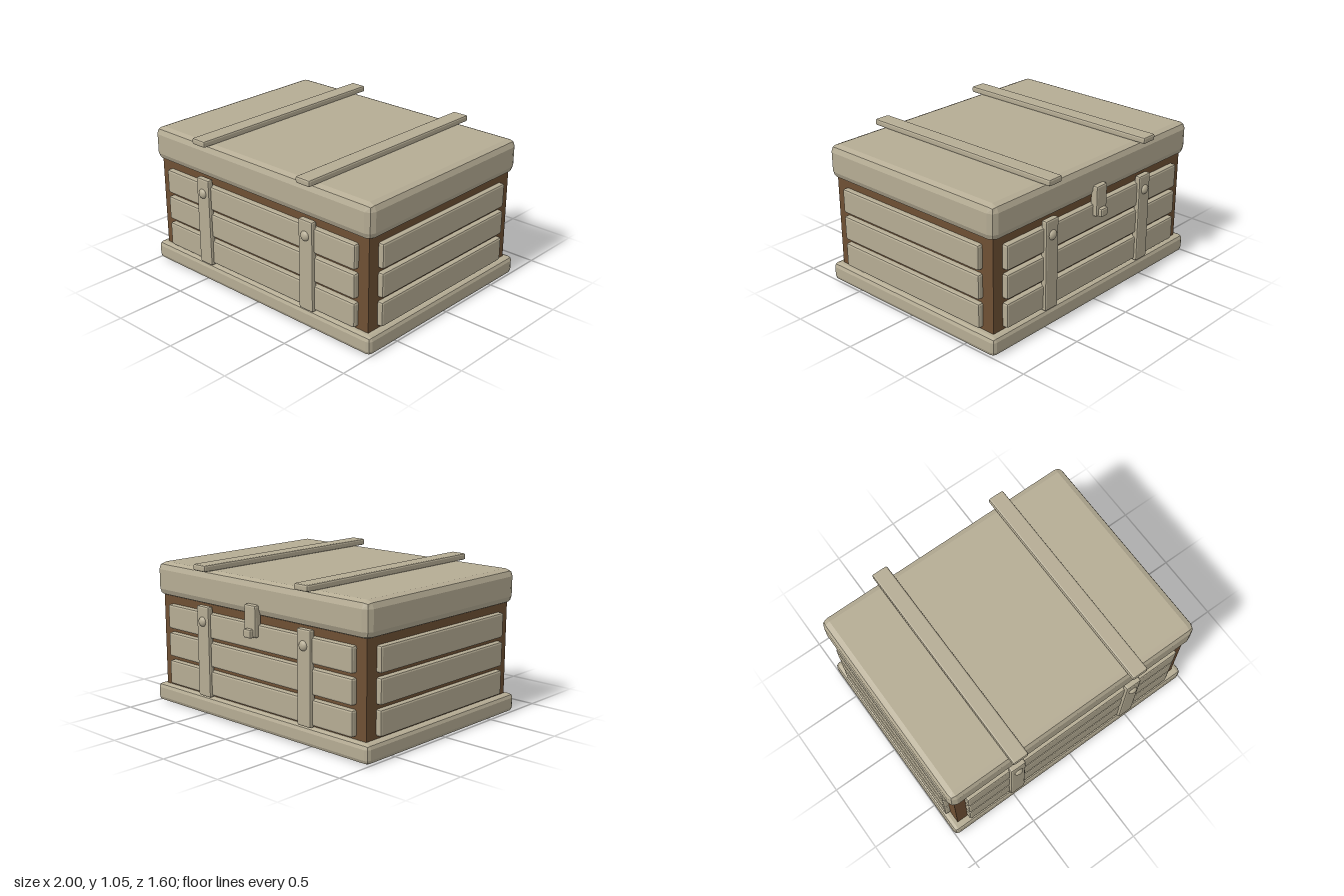
import * as THREE from 'three';
import { RoundedBoxGeometry } from 'three/addons/geometries/RoundedBoxGeometry.js';

export function createModel() {
  const chest = new THREE.Group();
  chest.name = 'chest';
  const paleWood = new THREE.MeshStandardMaterial({ color: 0xb5ac94 });
  paleWood.name = 'paleWood';
  const darkWood = new THREE.MeshStandardMaterial({ color: 0x6e5034 });
  darkWood.name = 'darkWood';

  const add = (name, geometry, material) => {
    const mesh = new THREE.Mesh(geometry, material);
    mesh.name = name;
    chest.add(mesh);
    return mesh;
  };

  // Block with faceted bevels, given by its [min, max] extents
  const block = (name, x, y, z, bevel) => {
    const g = new RoundedBoxGeometry(x[1] - x[0], y[1] - y[0], z[1] - z[0], 1, bevel);
    g.translate((x[0] + x[1]) / 2, (y[0] + y[1]) / 2, (z[0] + z[1]) / 2);
    g.computeVertexNormals();
    return add(name, g, paleWood);
  };

  // Dark inner body; its floor tilts a hair so the back left half shows under the base
  const body = new THREE.BoxGeometry(1.892, 0.79, 1.423);
  body.translate(0, 0.395, 0.0065);
  const corners = body.attributes.position;
  for (let i = 0; i < corners.count; i++) {
    if (corners.getY(i) < 0.1) {
      corners.setY(i, 0.001 * (Math.sign(corners.getZ(i)) - Math.sign(corners.getX(i))));
    }
  }
  add('body', body, darkWood);

  // Plinth and lid
  block('base', [-1, 1], [0, 0.128], [-0.754, 0.768], 0.03);
  block('lid', [-0.983, 0.983], [0.763, 1.001], [-0.74, 0.753], 0.05);

  // Three rows of slats on all four sides
  for (const [bottom, top] of [[0.145, 0.316], [0.345, 0.516], [0.544, 0.715]]) {
    block('frontSlat', [-0.864, 0.864], [bottom, top], [0.68, 0.758], 0.014);
    block('backSlat', [-0.864, 0.864], [bottom, top], [-0.745, -0.667], 0.014);
    block('leftSlat', [0.905, 0.984], [bottom, top], [-0.617, 0.632], 0.014);
    block('rightSlat', [-0.984, -0.905], [bottom, top], [-0.617, 0.632], 0.014);
  }

  // Straps with domed rivets, and the bars across the lid
  for (const cx of [-0.474, 0.474]) {
    const x = [cx - 0.059, cx + 0.059];
    block('lidBar', x, [1.0, 1.045], [-0.786, 0.798], 0.012);
    block('frontStrap', x, [0.133, 0.762], [0.735, 0.779], 0.012);
    block('backStrap', x, [0.133, 0.762], [-0.765, -0.721], 0.012);
    for (const z of [0.776, -0.762]) {
      const rivet = add('rivet', new THREE.SphereGeometry(0.034, 16, 12), paleWood);
      rivet.position.set(cx, 0.656, z);
      rivet.scale.z = 0.7;
    }
  }

  // Hasp and knob on the back
  block('hasp', [-0.053, 0.053], [0.63, 0.843], [-0.774, -0.72], 0.012);
  block('haspKnob', [-0.034, 0.034], [0.628, 0.688], [-0.801, -0.745], 0.012);

  return chest;
}
